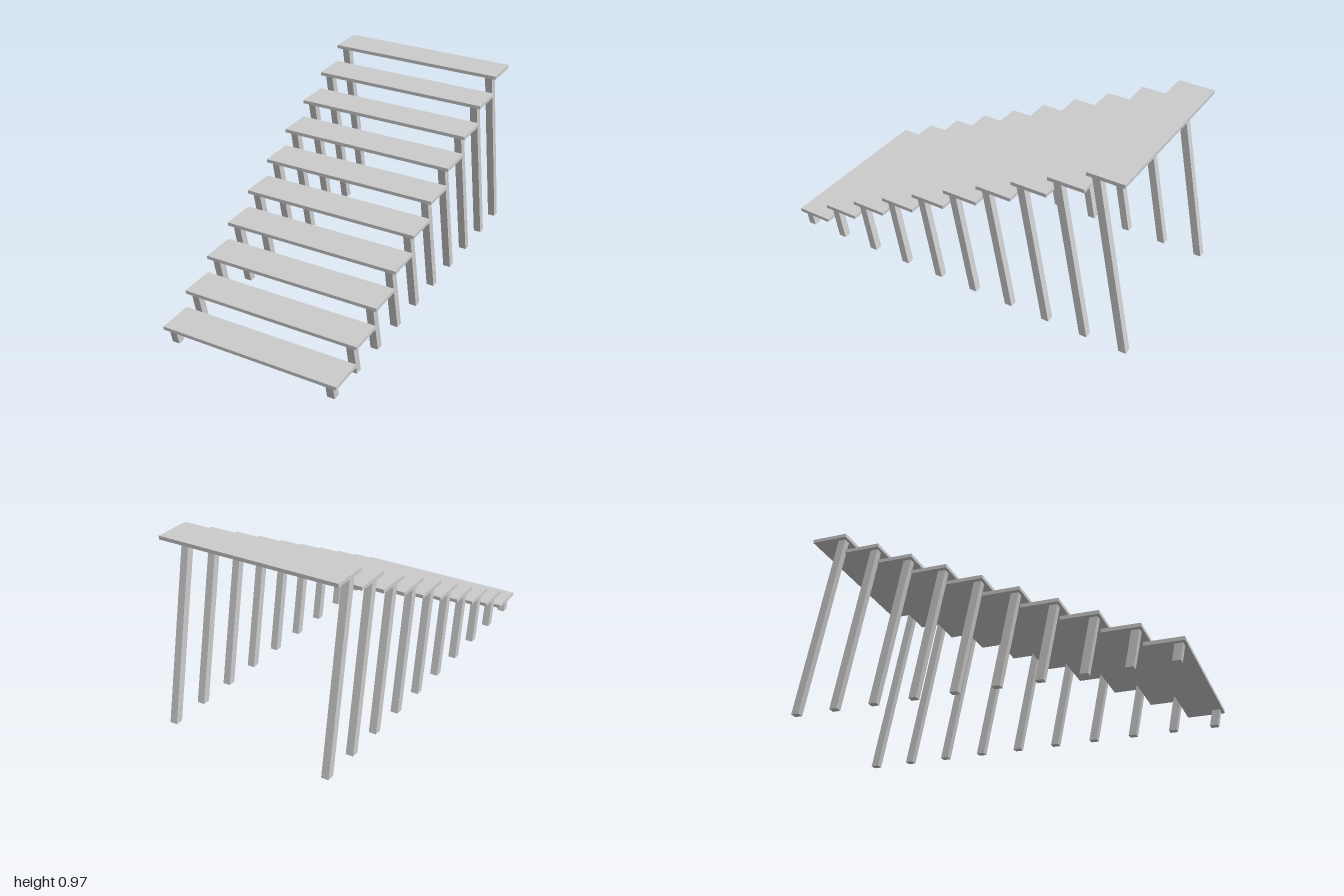
import * as THREE from 'three';

const STEPS = 10;
const RUN = 0.1945, RISE = 0.0972;           // spacing between treads
const WIDTH = 0.972, DEPTH = 0.192, THICK = 0.0185;
const LEG = 0.04, LEG_X = 0.441, LEAN = 0.204; // lean = backward shift per unit of height

const material = new THREE.MeshStandardMaterial({ color: 0xcccccc, flatShading: true });

// Square post with level ends, sheared so its foot sits further back than its top
function legGeometry(height) {
  const geometry = new THREE.BoxGeometry(LEG, height, LEG);
  geometry.translate(0, -height / 2, 0);
  const p = geometry.attributes.position;
  for (let i = 0; i < p.count; i++) p.setZ(i, p.getZ(i) + p.getY(i) * LEAN);
  geometry.computeVertexNormals();
  return geometry;
}

export function createModel() {
  const model = new THREE.Group();
  model.name = 'openStaircase';
  const treadGeometry = new THREE.BoxGeometry(WIDTH, THICK, DEPTH);

  for (let i = 0; i < STEPS; i++) {
    const step = new THREE.Group();
    step.name = `step${i + 1}`;
    const front = 1 - i * RUN;
    const top = 0.1 + i * RISE;

    // Flat board
    const tread = new THREE.Mesh(treadGeometry, material);
    tread.name = 'tread';
    tread.position.set(0, top - THICK / 2, front - DEPTH / 2);
    step.add(tread);

    // Pair of leaning legs under the front edge
    const geometry = legGeometry(top - THICK);
    for (const side of [1, -1]) {
      const leg = new THREE.Mesh(geometry, material);
      leg.name = side > 0 ? 'leftLeg' : 'rightLeg';
      leg.position.set(side * LEG_X, top - THICK, front - 0.0145 - LEG / 2);
      step.add(leg);
    }
    model.add(step);
  }
  return model;
}
